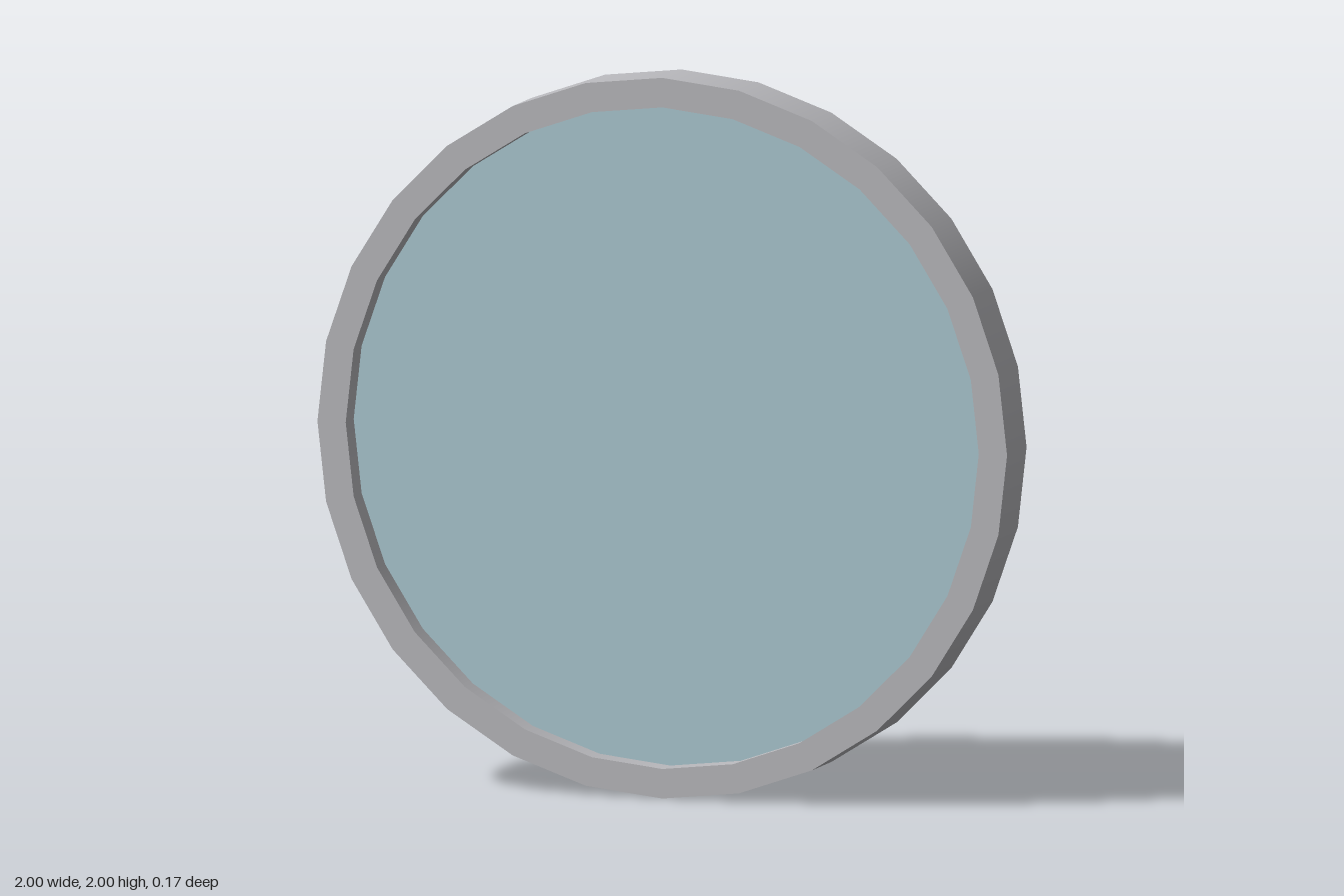
import * as THREE from 'three';

const SEGMENTS = 28;
const OUTER = 1, INNER = 0.918, HALF_DEPTH = 0.083, GLASS_HALF = 0.015;

// Smooth band around z; inward-facing when inward is true
function band(radius, halfDepth, inward) {
  const ends = [new THREE.Vector2(radius, -halfDepth), new THREE.Vector2(radius, halfDepth)];
  if (inward) ends.reverse();
  return new THREE.LatheGeometry(ends, SEGMENTS).rotateX(Math.PI / 2);
}

export function createModel() {
  const model = new THREE.Group();
  model.name = 'roundWindow';
  const frameGrey = new THREE.MeshStandardMaterial({ name: 'frameGrey', color: 0xb9b9bd });
  const glassBlue = new THREE.MeshStandardMaterial({ name: 'glassBlue', color: 0xabc8d1 });

  const add = (parent, name, geometry, material) => {
    const mesh = new THREE.Mesh(geometry, material);
    mesh.name = name;
    parent.add(mesh);
    return mesh;
  };

  // Round frame: outer and inner walls closed by flat rings front and back
  const frame = new THREE.Group();
  frame.name = 'frame';
  add(frame, 'outerWall', band(OUTER, HALF_DEPTH, false), frameGrey);
  add(frame, 'innerWall', band(INNER, HALF_DEPTH, true), frameGrey);
  for (const side of [1, -1]) {
    const ring = add(frame, side > 0 ? 'frontRim' : 'backRim',
      new THREE.RingGeometry(INNER, OUTER, SEGMENTS), frameGrey);
    ring.position.z = side * HALF_DEPTH;
    if (side < 0) ring.rotation.y = Math.PI;
  }

  // Thin pane set in the middle of the frame
  const pane = new THREE.CylinderGeometry(INNER, INNER, GLASS_HALF * 2, SEGMENTS).rotateX(Math.PI / 2);
  add(model, 'glassPane', pane, glassBlue);

  model.add(frame);
  model.position.y = OUTER;
  return model;
}
